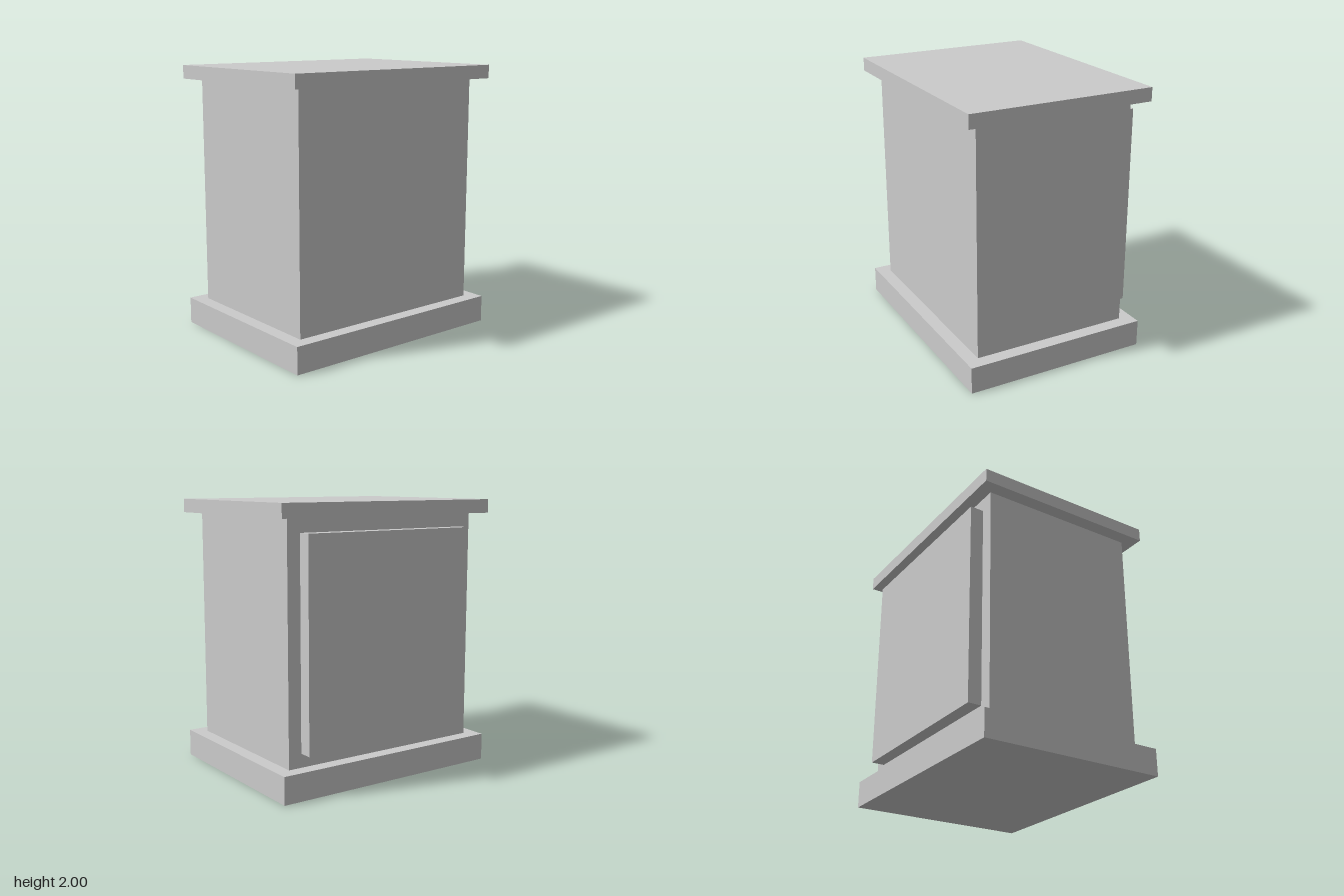
import * as THREE from 'three';

export function createModel() {
  const group = new THREE.Group();
  const material = new THREE.MeshStandardMaterial({ color: 0xcccccc, flatShading: true });

  // Box spanning y0..y1, centred on x = 0
  function slab(name, width, depth, y0, y1, z = 0) {
    const mesh = new THREE.Mesh(new THREE.BoxGeometry(width, y1 - y0, depth), material);
    mesh.name = name;
    mesh.position.set(0, (y0 + y1) / 2, z);
    group.add(mesh);
  }

  slab('base', 1.8, 1.4, 0, 0.2);
  slab('body', 1.6, 1.2, 0.2, 1.9);
  slab('top', 1.8, 1.4, 1.9, 2);
  // Raised panel on the back face
  slab('backPanel', 1.4, 0.1, 0.3, 1.8, -0.65);

  return group;
}
